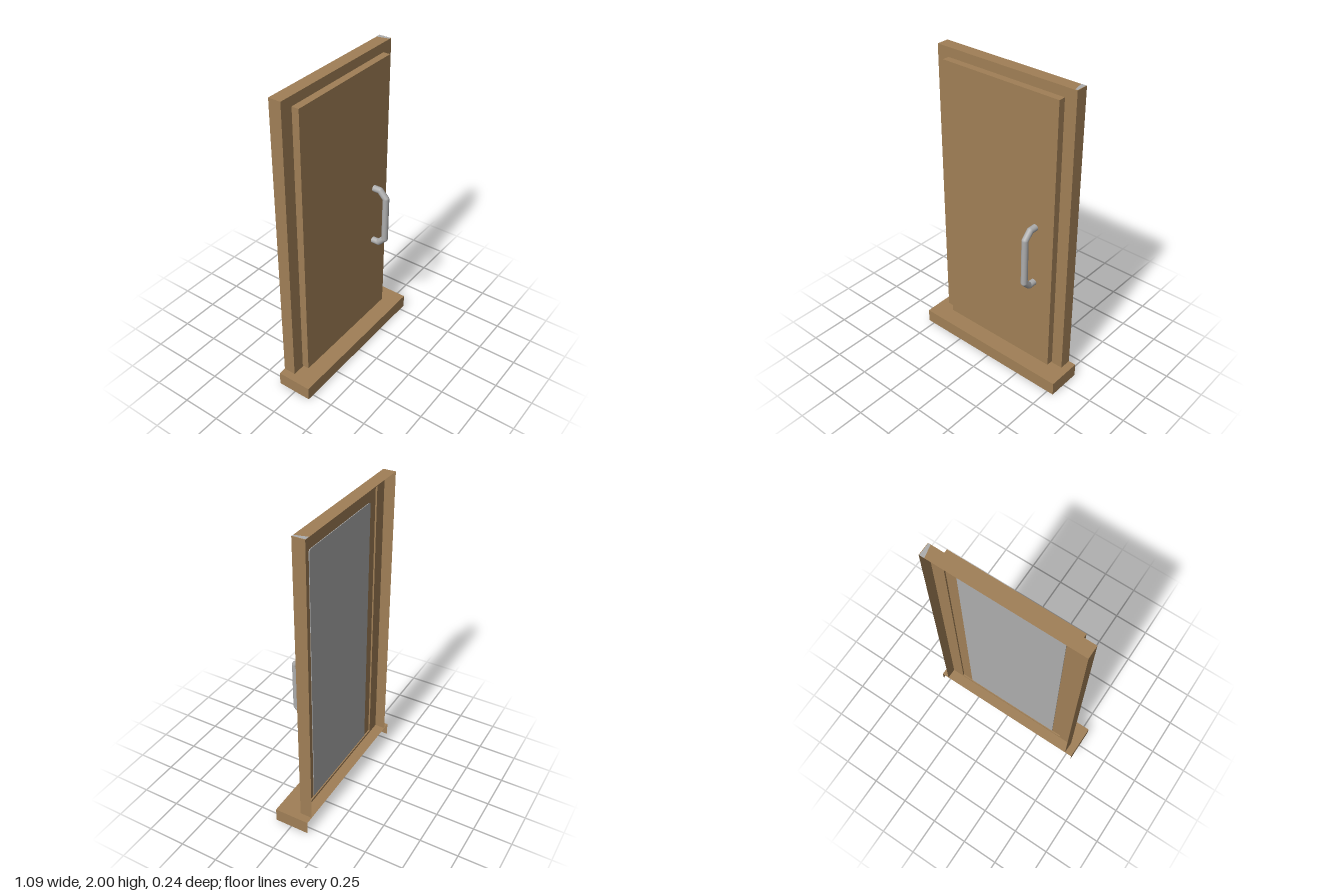
import * as THREE from 'three';

export function createModel() {
  const model = new THREE.Group();
  const wood = new THREE.MeshStandardMaterial({ color: 0xa07f56, side: THREE.DoubleSide });
  wood.name = 'wood';
  const grey = new THREE.MeshStandardMaterial({ color: 0xadadad, side: THREE.DoubleSide });
  grey.name = 'steel grey';

  const add = (parent, name, geometry, material) => {
    const mesh = new THREE.Mesh(geometry, material);
    mesh.name = name;
    parent.add(mesh);
    return mesh;
  };
  const group = (name) => {
    const g = new THREE.Group();
    g.name = name;
    model.add(g);
    return g;
  };
  // Box given by its lower and upper corners
  const box = (parent, name, [x0, y0, z0], [x1, y1, z1], material) => {
    const mesh = add(parent, name, new THREE.BoxGeometry(x1 - x0, y1 - y0, z1 - z0), material);
    mesh.position.set((x0 + x1) / 2, (y0 + y1) / 2, (z0 + z1) / 2);
  };
  // Thin sheet facing x, y or z
  const sheet = (parent, name, w, h, pos, rot = [0, 0, 0]) => {
    const mesh = add(parent, name, new THREE.PlaneGeometry(w, h), wood);
    mesh.position.set(...pos);
    mesh.rotation.set(...rot);
  };
  const Q = Math.PI / 2;

  // Sill: hollow, open at the back and underneath
  const sill = group('sill');
  sheet(sill, 'sillTop', 1.09, 0.23, [0, 0.09, -0.005], [-Q, 0, 0]);
  sheet(sill, 'sillFront', 1.09, 0.09, [0, 0.045, 0.11]);
  for (const s of [-1, 1]) sheet(sill, 'sillEnd', 0.23, 0.09, [s * 0.545, 0.045, -0.005], [0, s * Q, 0]);

  // Frame: front face with an opening, thin sides and top, open at the back
  const frame = group('frame');
  const face = new THREE.Shape([
    [-0.495, 0.09], [0.495, 0.09], [0.495, 2], [-0.495, 2],
  ].map(([x, y]) => new THREE.Vector2(x, y)));
  face.holes.push(new THREE.Path([
    [-0.405, 0.105], [-0.405, 1.93], [0.412, 1.93], [0.412, 0.105],
  ].map(([x, y]) => new THREE.Vector2(x, y))));
  const faceMesh = add(frame, 'frameFace',
    new THREE.ExtrudeGeometry(face, { depth: 0.01, bevelEnabled: false }), wood);
  faceMesh.position.z = -0.05;
  sheet(frame, 'frameTop', 0.99, 0.08, [0, 2, -0.08], [-Q, 0, 0]);
  for (const s of [-1, 1]) sheet(frame, 'frameSide', 0.08, 1.91, [s * 0.495, 1.045, -0.08], [0, s * Q, 0]);

  // Door leaf with a grey panel behind and a grey strip along its foot
  const door = group('door');
  box(door, 'doorLeaf', [-0.412, 0.1, -0.04], [0.418, 1.94, 0.006], wood);
  const r = 0.02, px = 0.338, py0 = 0.108, py1 = 1.855;
  const panel = new THREE.Shape();
  panel.moveTo(-px, py0);
  panel.lineTo(px, py0);
  panel.lineTo(px, py1 - r);
  panel.quadraticCurveTo(px, py1, px - r, py1);
  panel.lineTo(-px + r, py1);
  panel.quadraticCurveTo(-px, py1, -px, py1 - r);
  const panelMesh = add(door, 'backPanel',
    new THREE.ExtrudeGeometry(panel, { depth: 0.004, bevelEnabled: false }), grey);
  panelMesh.position.z = -0.044;
  box(door, 'footStrip', [-0.338, 0.091, -0.042], [0.338, 0.1, -0.038], grey);

  // Small grey patch on the top corner of the frame
  const patch = new THREE.Shape([
    [0.46, 0.12], [0.492, 0.12], [0.492, 0.042], [0.478, 0.042],
  ].map(([x, y]) => new THREE.Vector2(x, y)));
  const patchMesh = add(frame, 'cornerPatch', new THREE.ShapeGeometry(patch), grey);
  patchMesh.rotation.x = -Q;
  patchMesh.position.y = 2.001;

  // Pull handle: straight tubes joined at the bends
  const handle = group('handle');
  const R = 0.021;
  const path = [
    [1.098, 0.004], [1.098, 0.052], [1.052, 0.097],
    [0.748, 0.097], [0.702, 0.052], [0.702, 0.004],
  ].map(([y, z]) => new THREE.Vector3(0.286, y, z));
  for (let i = 0; i < path.length - 1; i++) {
    const dir = path[i + 1].clone().sub(path[i]);
    const tube = add(handle, 'handleTube',
      new THREE.CylinderGeometry(R, R, dir.length(), 20, 1, true), grey);
    tube.position.copy(path[i]).add(path[i + 1]).multiplyScalar(0.5);
    tube.quaternion.setFromUnitVectors(new THREE.Vector3(0, 1, 0), dir.normalize());
    if (i > 0) add(handle, 'handleBend', new THREE.SphereGeometry(R, 20, 12), grey).position.copy(path[i]);
  }

  return model;
}
